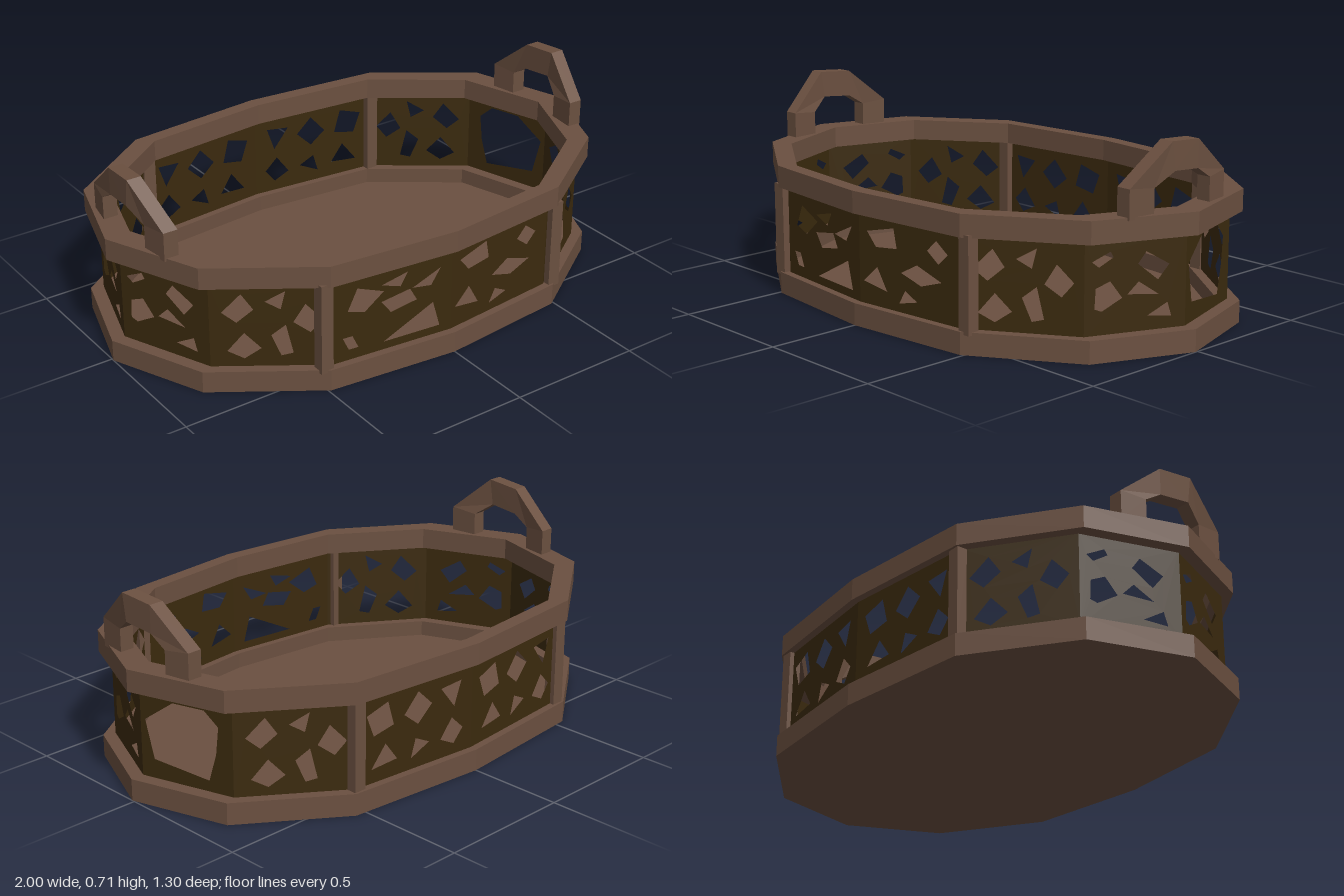
import * as THREE from 'three';

// Twelve-sided oval outline as [x, z], running left to right when seen from outside
const OUTLINE = [
  [1, 0.01], [0.89, -0.35], [0.54, -0.6], [0, -0.65], [-0.54, -0.6], [-0.89, -0.35],
  [-1, 0.01], [-0.85, 0.36], [-0.49, 0.6], [0, 0.65], [0.49, 0.6], [0.85, 0.36],
];
const Y0 = 0.07, Y1 = 0.41;

// Cut-outs per panel: [u along the panel 0..1, height] pairs
const HOLES = {
  large: [[0.05, 0.29, 0.36, 0.37, 0.7, 0.37, 0.85, 0.32, 0.82, 0.22, 0.74, 0.12, 0.14, 0.15]],
  side: [
    [0.1, 0.17, 0.17, 0.16, 0.37, 0.2, 0.25, 0.26, 0.11, 0.24],
    [0.52, 0.31, 0.6, 0.35, 0.83, 0.3, 0.72, 0.25],
    [0.42, 0.21, 0.53, 0.25, 0.73, 0.2],
    [0.07, 0.33, 0.25, 0.36, 0.28, 0.34, 0.14, 0.31],
    [0.62, 0.13, 0.82, 0.17, 0.86, 0.12],
  ],
  corner: [
    [0.1, 0.29, 0.26, 0.36, 0.36, 0.3, 0.22, 0.25],
    [0.45, 0.33, 0.62, 0.37, 0.58, 0.3],
    [0.68, 0.25, 0.78, 0.32, 0.92, 0.26, 0.82, 0.21],
    [0.14, 0.14, 0.28, 0.21, 0.42, 0.15, 0.28, 0.11],
    [0.5, 0.2, 0.62, 0.24, 0.68, 0.13, 0.58, 0.12],
  ],
  frontA: [
    [0.12, 0.27, 0.2, 0.35, 0.42, 0.31, 0.26, 0.25],
    [0.4, 0.335, 0.62, 0.36, 0.56, 0.31],
    [0.66, 0.29, 0.9, 0.34, 0.82, 0.28],
    [0.4, 0.27, 0.64, 0.29, 0.7, 0.24, 0.48, 0.22],
    [0.08, 0.17, 0.16, 0.17, 0.21, 0.12, 0.13, 0.12],
    [0.42, 0.11, 0.84, 0.21, 0.9, 0.11],
  ],
  frontB: [
    [0.08, 0.34, 0.35, 0.37, 0.38, 0.3, 0.17, 0.29],
    [0.04, 0.16, 0.18, 0.22, 0.28, 0.14],
    [0.42, 0.22, 0.58, 0.26, 0.82, 0.22, 0.62, 0.19],
    [0.68, 0.32, 0.77, 0.36, 0.88, 0.32, 0.79, 0.28],
    [0.4, 0.11, 0.46, 0.16, 0.58, 0.13],
  ],
  back: [
    [0.08, 0.33, 0.26, 0.36, 0.31, 0.27, 0.14, 0.25],
    [0.4, 0.29, 0.52, 0.36, 0.64, 0.3, 0.52, 0.24],
    [0.72, 0.34, 0.9, 0.35, 0.84, 0.26],
    [0.12, 0.13, 0.24, 0.21, 0.34, 0.14],
    [0.46, 0.12, 0.5, 0.19, 0.62, 0.16],
    [0.72, 0.15, 0.82, 0.22, 0.92, 0.17, 0.84, 0.12],
  ],
};
const PANELS = ['large', 'corner', 'back', 'back', 'corner', 'side', 'side', 'corner',
  'frontA', 'frontB', 'corner', 'side'];

const scaled = (sx, sz) => OUTLINE.map(([x, z]) => new THREE.Vector2(x * sx, -z * sz));

// Horizontal slab with an optional opening
function slab(outer, inner, y, height) {
  const shape = new THREE.Shape(outer);
  if (inner) shape.holes.push(new THREE.Path(inner));
  const g = new THREE.ExtrudeGeometry(shape, { depth: height, bevelEnabled: false });
  return g.rotateX(-Math.PI / 2).translate(0, y, 0);
}

// Flat wall panel with irregular cut-outs
function panelGeometry(length, holes) {
  const shape = new THREE.Shape([[0, Y0], [length, Y0], [length, Y1], [0, Y1]]
    .map(p => new THREE.Vector2(...p)));
  for (const h of holes) {
    const pts = [];
    for (let i = 0; i < h.length; i += 2) pts.push(new THREE.Vector2(h[i] * length, h[i + 1]));
    shape.holes.push(new THREE.Path(pts));
  }
  return new THREE.ShapeGeometry(shape);
}

// Angular arch swept through sections: [z, y outside, z, y inside, x]
function handleGeometry() {
  const sections = [
    [0.245, 0.47, 0.14, 0.47, 0.88], [0.245, 0.575, 0.14, 0.565, 0.88],
    [0.085, 0.715, 0.07, 0.615, 0.918], [-0.05, 0.705, -0.05, 0.605, 0.912],
    [-0.21, 0.575, -0.115, 0.565, 0.89], [-0.21, 0.47, -0.115, 0.47, 0.89],
  ];
  const t = 0.027;
  const lean = z => (0.19 - Math.abs(z)) * 0.25;
  const rings = sections.map(([zo, yo, zi, yi, x]) => {
    const xi = x + (Math.abs(zo) > 0.2 ? lean(zi) : 0);
    return [[x + t, yo, zo], [x - t, yo, zo], [xi - t, yi, zi], [xi + t, yi, zi]];
  });
  const pos = [];
  const quad = (a, b, c, d) => pos.push(...a, ...b, ...c, ...a, ...c, ...d);
  for (let i = 0; i < rings.length - 1; i++)
    for (let j = 0; j < 4; j++) {
      const k = (j + 1) % 4;
      quad(rings[i][j], rings[i + 1][j], rings[i + 1][k], rings[i][k]);
    }
  const g = new THREE.BufferGeometry();
  g.setAttribute('position', new THREE.Float32BufferAttribute(pos, 3));
  g.computeVertexNormals();
  return g;
}

export function createModel() {
  const model = new THREE.Group();
  model.name = 'ovalBasket';
  const wood = new THREE.MeshStandardMaterial({ color: 0x6b5040, side: THREE.DoubleSide });
  wood.name = 'brown wood';
  const lattice = new THREE.MeshStandardMaterial({ color: 0x3b2a0e, side: THREE.DoubleSide });
  lattice.name = 'dark lattice';
  const add = (name, geometry, material) => {
    const mesh = new THREE.Mesh(geometry, material);
    mesh.name = name;
    model.add(mesh);
    return mesh;
  };

  // Floor and the two rims
  const outer = scaled(1, 1), inner = scaled(0.905, 0.915);
  add('floor', slab(inner, null, 0, 0.02), wood);
  add('lowerRim', slab(outer, inner, 0, 0.08), wood);
  add('upperRim', slab(outer, inner, 0.4, 0.08), wood);

  // Pierced wall panels between the rims
  const wall = scaled(0.95, 0.957);
  wall.forEach((a, i) => {
    const b = wall[(i + 1) % wall.length];
    const panel = add('wallPanel', panelGeometry(a.distanceTo(b), HOLES[PANELS[i]]), lattice);
    panel.position.set(a.x, 0, -a.y);
    panel.rotation.y = Math.atan2(b.y - a.y, b.x - a.x);
  });

  // Four upright posts
  for (const sx of [-1, 1])
    for (const [x, z] of [[0.5, 0.571], [0.515, -0.571]])
      add('post', new THREE.BoxGeometry(0.048, 0.34, 0.044), wood).position.set(sx * x, 0.24, z);

  // Carrying handles at both ends
  add('leftHandle', handleGeometry(), wood);
  const mirrored = handleGeometry().scale(-1, 1, 1);
  const p = mirrored.attributes.position;
  for (let i = 0; i < p.count; i += 3) { // restore winding after mirroring
    const b = [p.getX(i + 1), p.getY(i + 1), p.getZ(i + 1)];
    p.setXYZ(i + 1, p.getX(i + 2), p.getY(i + 2), p.getZ(i + 2));
    p.setXYZ(i + 2, ...b);
  }
  mirrored.computeVertexNormals();
  add('rightHandle', mirrored, wood);
  return model;
}
